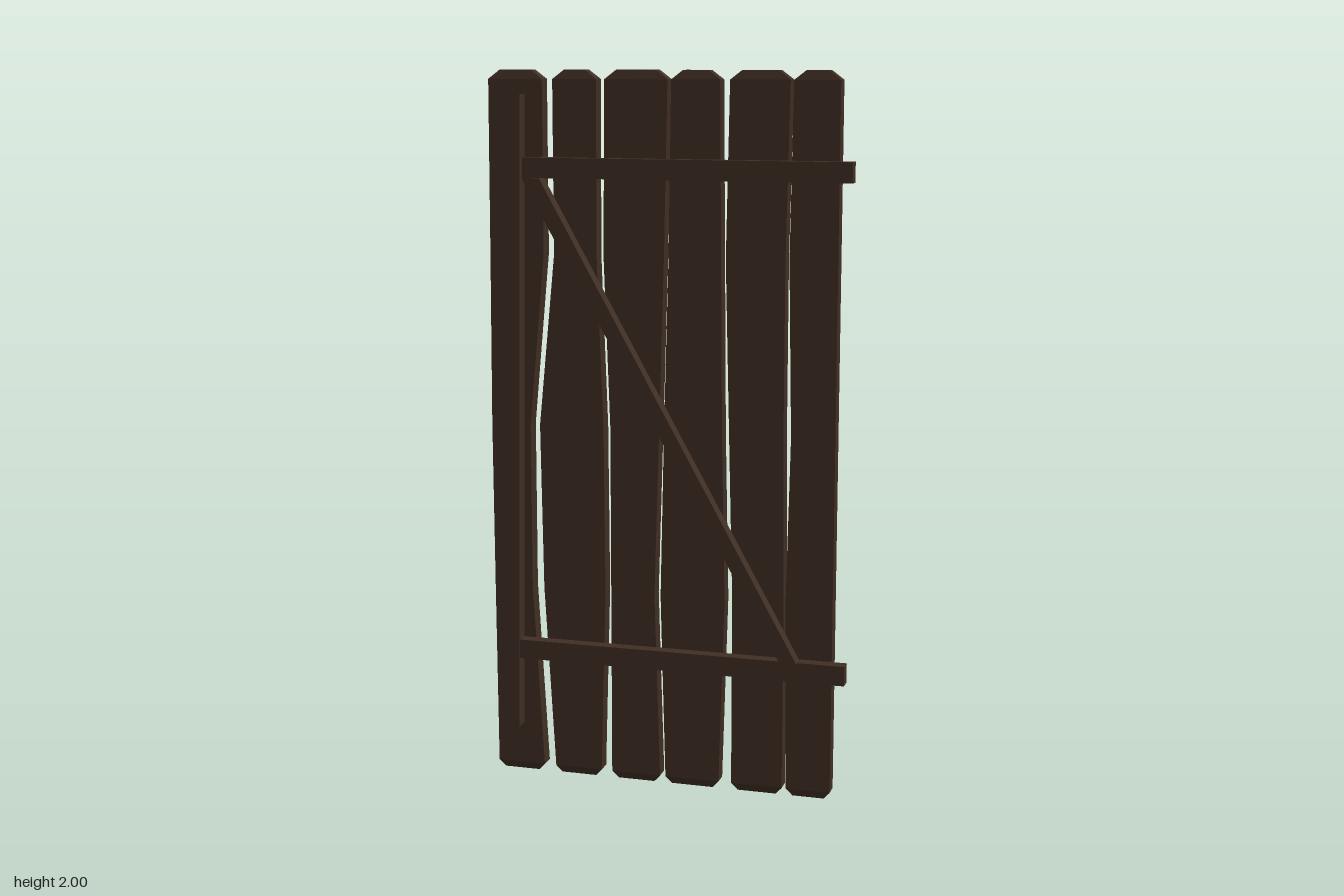
import * as THREE from 'three';

const wood = new THREE.MeshStandardMaterial({ color: 0x3f2e23 });
wood.name = 'dark wood';

// Solid with flat faces from stacked four-cornered sections: [y, left, right, back, front]
function stack(name, rows) {
  const pos = [], index = [];
  for (const [y, l, r, b, f] of rows) pos.push(l, y, f, r, y, f, r, y, b, l, y, b);
  const quad = (a, b, c, d) => index.push(a, b, c, a, c, d);
  for (let i = 0; i < rows.length - 1; i++) {
    for (let j = 0; j < 4; j++) {
      const k = (j + 1) % 4, o = i * 4;
      quad(o + j, o + k, o + 4 + k, o + 4 + j);
    }
  }
  const t = (rows.length - 1) * 4;
  quad(3, 2, 1, 0);
  quad(t, t + 1, t + 2, t + 3);
  const indexed = new THREE.BufferGeometry();
  indexed.setAttribute('position', new THREE.Float32BufferAttribute(pos, 3));
  indexed.setIndex(index);
  const geometry = indexed.toNonIndexed();
  geometry.computeVertexNormals();
  const mesh = new THREE.Mesh(geometry, wood);
  mesh.name = name;
  return mesh;
}

// Left and right outlines of each plank at these heights
const HEIGHTS = [0.02, 0.55, 1.02, 1.5, 1.975];
const PLANKS = [
  [[-0.51, -0.513, -0.515, -0.512, -0.51], [-0.37, -0.4, -0.4, -0.355, -0.355]],
  [[-0.335, -0.365, -0.372, -0.325, -0.325], [-0.197, -0.182, -0.185, -0.202, -0.2]],
  [[-0.165, -0.165, -0.165, -0.182, -0.177], [-0.022, -0.038, -0.024, -0.01, 0]],
  [[-0.006, -0.02, -0.01, 0.003, 0.01], [0.15, 0.165, 0.155, 0.15, 0.145]],
  [[0.187, 0.187, 0.175, 0.163, 0.172], [0.333, 0.333, 0.327, 0.327, 0.336]],
  [[0.345, 0.338, 0.348, 0.338, 0.345], [0.47, 0.47, 0.47, 0.47, 0.47]],
];

export function createModel() {
  const group = new THREE.Group();
  group.name = 'plank door';
  const door = new THREE.Group();
  door.name = 'door leaf';
  door.rotation.y = -0.02; // door stands slightly ajar
  group.add(door);

  // Warped planks with chamfered ends
  const back = -0.045, front = -0.002;
  PLANKS.forEach(([left, right], i) => {
    const rows = HEIGHTS.map((y, j) => [y, left[j], right[j], back, front]);
    const end = (y, j, inset) => [y, left[j] + inset, right[j] - inset, back + 0.005, front - 0.005];
    rows.unshift(end(0, 0, 0.018));
    rows.push(end(2, 4, 0.032));
    door.add(stack('plank' + (i + 1), rows));
  });

  // Leaning hinge-side batten
  door.add(stack('uprightBatten', [
    [0.14, -0.485, -0.432, -0.002, 0.037],
    [1.935, -0.46, -0.405, -0.002, 0.037],
  ]));

  // Cross battens that reach past the planks
  door.add(stack('upperBatten', [[1.71, -0.402, 0.512, -0.002, 0.034], [1.765, -0.402, 0.512, -0.002, 0.034]]));
  door.add(stack('lowerBatten', [[0.345, -0.432, 0.512, -0.002, 0.034], [0.4, -0.432, 0.512, -0.002, 0.034]]));

  // Diagonal brace between the cross battens
  door.add(stack('diagonalBrace', [
    [0.4, 0.332, 0.38, 0.004, 0.045],
    [1.71, -0.4, -0.35, 0.004, 0.045],
  ]));
  return group;
}
